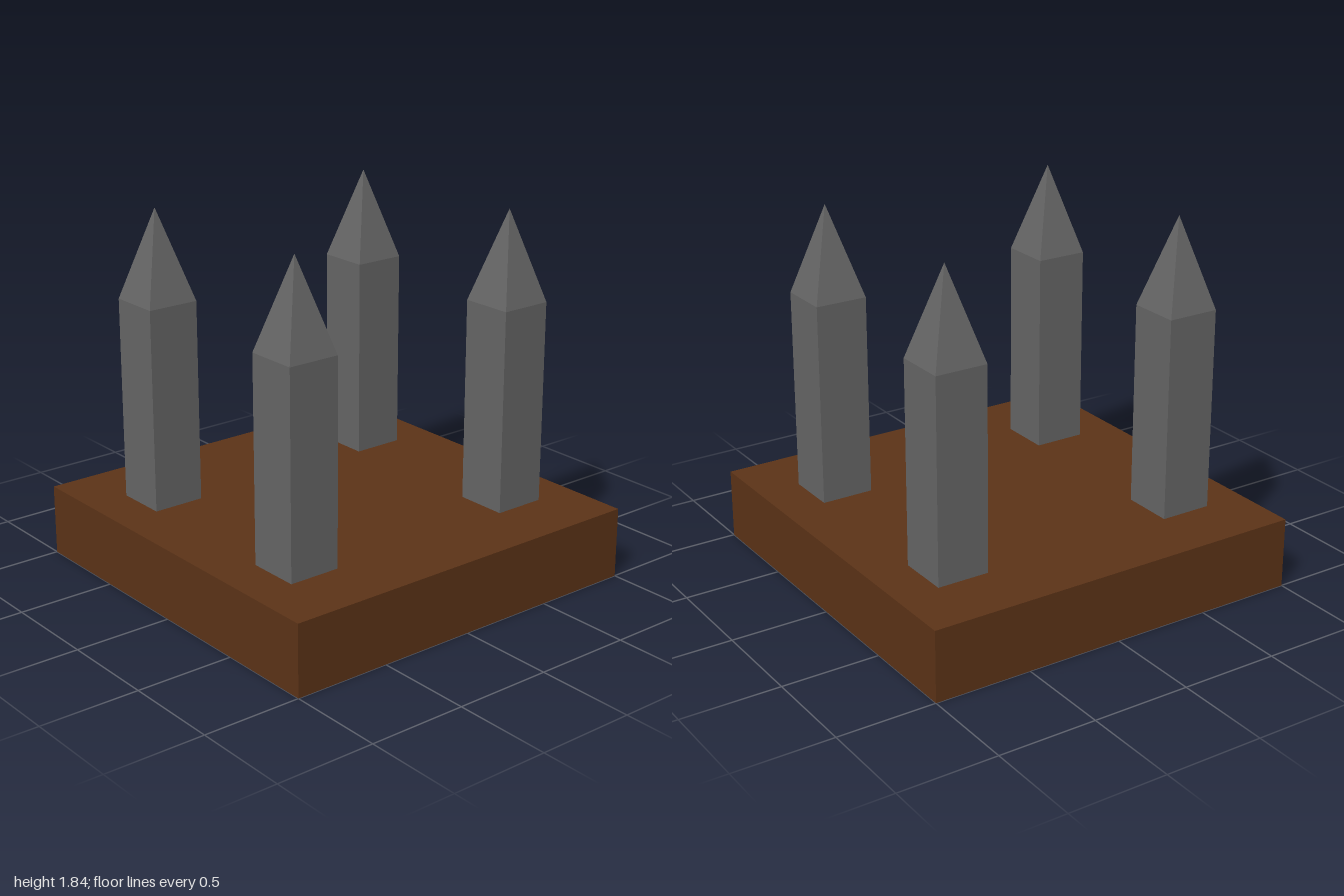
import * as THREE from 'three';

const BASE_TOP = 0.36, SHOULDER = 1.385, TIP = 1.84, WIDTH = 0.268;

export function createModel() {
  const model = new THREE.Group();
  model.name = 'spikeTrap';
  const wood = new THREE.MeshStandardMaterial({ color: 0x5c3317, flatShading: true });
  const metal = new THREE.MeshStandardMaterial({ color: 0x666666, flatShading: true });

  const add = (parent, name, geometry, material, y) => {
    const mesh = new THREE.Mesh(geometry, material);
    mesh.name = name;
    mesh.position.y = y;
    parent.add(mesh);
  };

  // Square wooden slab
  add(model, 'base', new THREE.BoxGeometry(2, BASE_TOP, 2), wood, BASE_TOP / 2);

  // Square shaft and four-sided point, shared by all spikes
  const shaft = new THREE.BoxGeometry(WIDTH, SHOULDER - BASE_TOP, WIDTH);
  const point = new THREE.ConeGeometry(WIDTH / Math.SQRT2, TIP - SHOULDER, 4, 1, true);
  point.rotateY(Math.PI / 4);

  for (const [sx, side] of [[1, 'Left'], [-1, 'Right']]) {
    for (const [sz, end] of [[1, 'front'], [-1, 'back']]) {
      const spike = new THREE.Group();
      spike.name = `${end}${side}Spike`;
      spike.position.set(sx * 0.537, 0, sz * 0.645);
      add(spike, 'shaft', shaft, metal, (BASE_TOP + SHOULDER) / 2);
      add(spike, 'point', point, metal, (SHOULDER + TIP) / 2);
      model.add(spike);
    }
  }
  return model;
}
